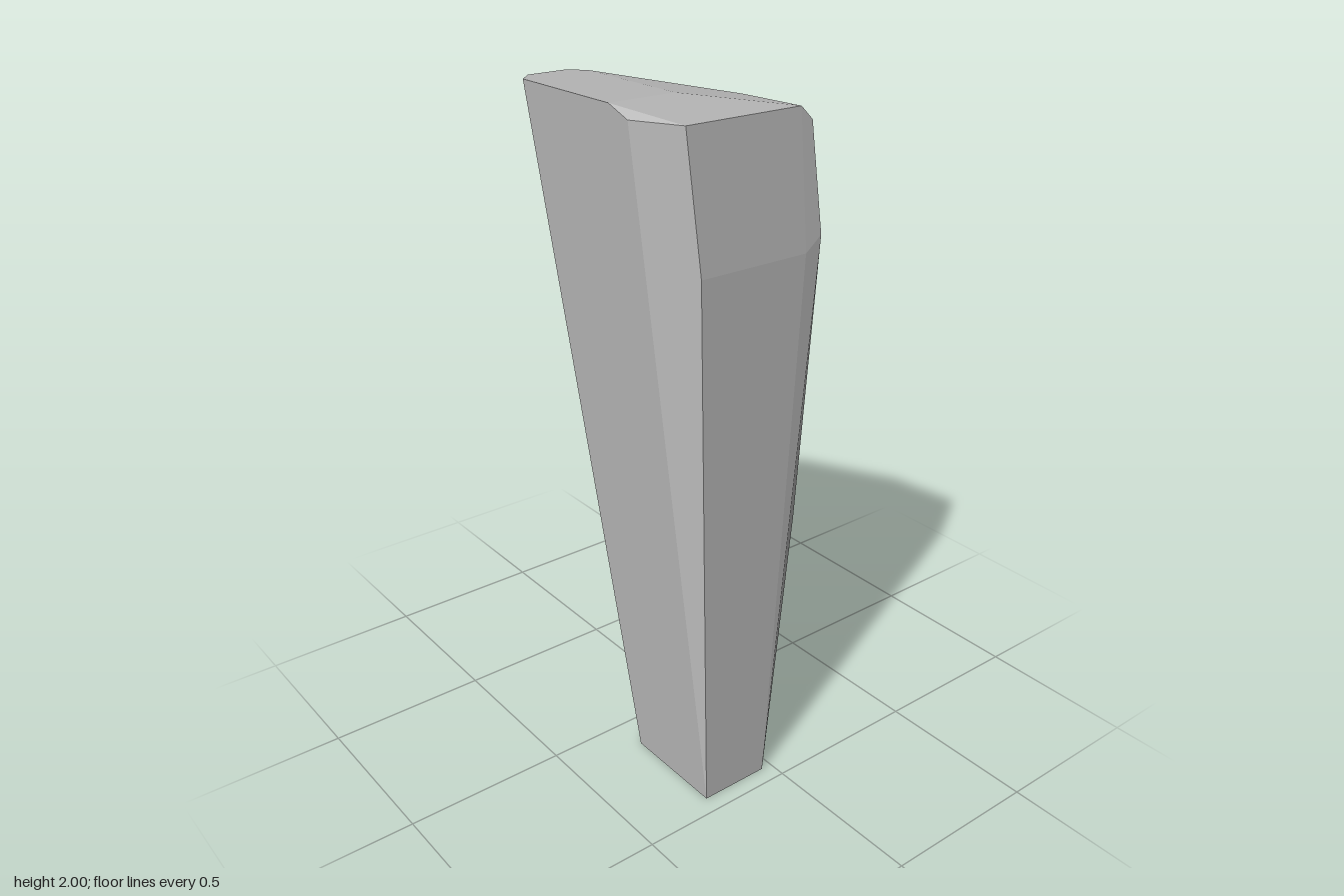
import * as THREE from 'three';
import { ConvexGeometry } from 'three/addons/geometries/ConvexGeometry.js';

export function createModel() {
  const stone = new THREE.MeshStandardMaterial({ color: 0xb4b4b4 });
  stone.name = 'grey stone';
  const points = [];
  const add = (x, y, z) => points.push(new THREE.Vector3(x, y, z));

  // leaning back spine: the same chamfered outline at foot and crown
  for (const [y, z] of [[0, 0.07], [2, -0.445]]) {
    add(-0.255, y, z + 0.045);
    add(-0.21, y, z);
    add(-0.08, y, z);
    add(-0.035, y, z + 0.045);
  }

  // front edge of the foot
  add(-0.255, 0, 0.445);
  add(-0.035, 0, 0.445);

  // tapered right flank
  add(0.18, 0.76, 0.313);
  add(0.18, 0.76, 0.165);
  add(0.253, 1.62, 0.303);
  add(0.253, 1.6, 0.015);

  // bend across the front face
  add(-0.18, 1.58, 0.312);
  add(0.19, 1.58, 0.312);

  // bevels around the crown
  add(-0.255, 1.97, 0.1);
  add(-0.18, 1.97, 0.245);
  add(0.215, 1.97, 0.245);
  add(0.253, 1.93, 0.25);
  add(0.253, 1.88, -0.035);
  add(0.182, 1.974, 0.04);
  add(0.182, 1.962, -0.05);

  // front edge of the flat top
  add(-0.255, 2, 0.015);
  add(-0.035, 2, 0.015);

  const pillar = new THREE.Mesh(new ConvexGeometry(points), stone);
  pillar.name = 'stonePillar';
  const group = new THREE.Group();
  group.name = 'facetedStone';
  group.add(pillar);
  return group;
}
